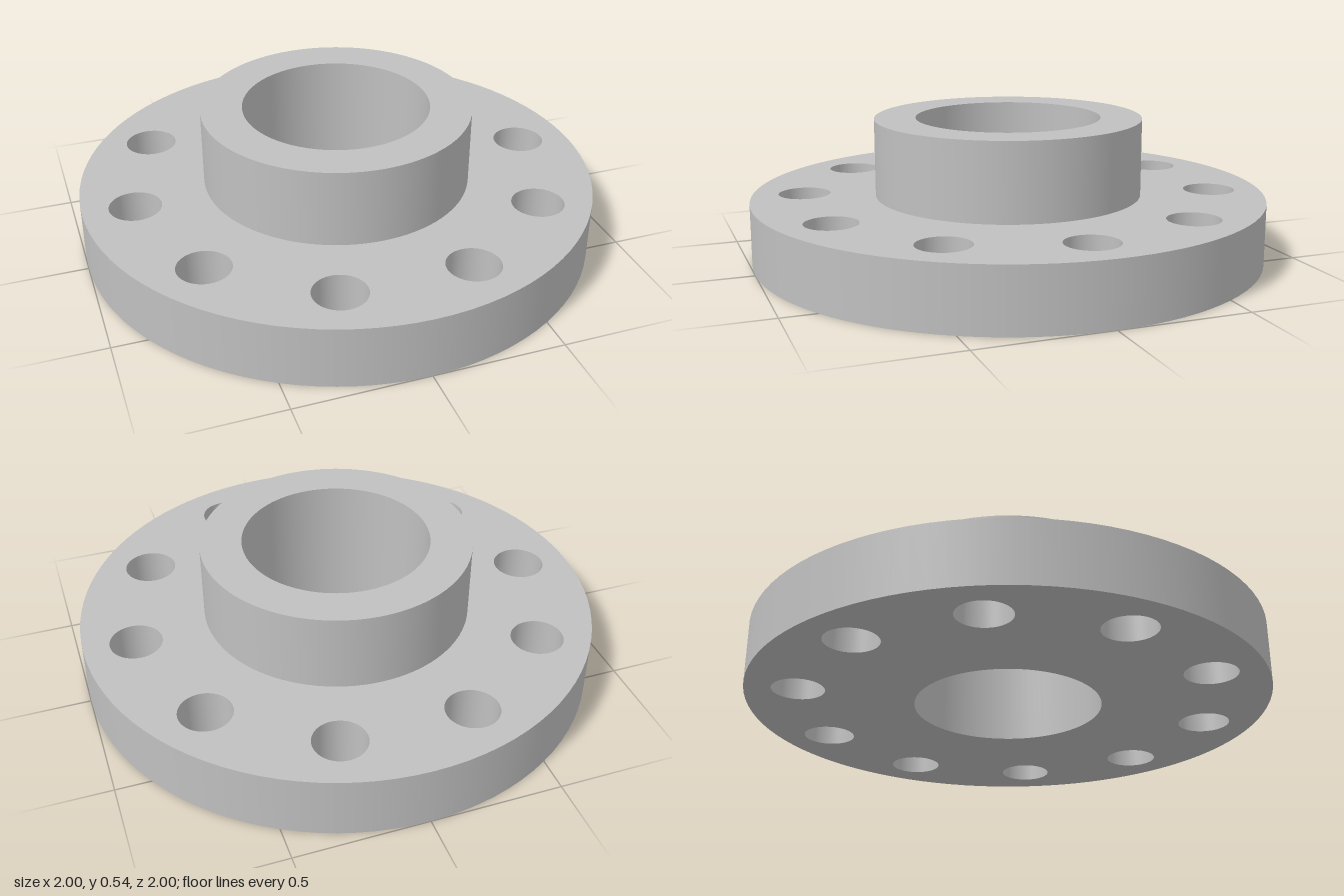
import * as THREE from 'three';
import { mergeGeometries } from 'three/addons/utils/BufferGeometryUtils.js';

const SEGMENTS = 96;
const OUTER = 1, HUB = 0.52, BORE = 0.36;
const PLATE_TOP = 0.24, HUB_TOP = 0.54;
const BOLT_COUNT = 10, BOLT_CIRCLE = 0.8, BOLT_RADIUS = 0.1;

const boltCentres = Array.from({ length: BOLT_COUNT }, (_, i) => {
  const a = (i / BOLT_COUNT) * Math.PI * 2;
  return [BOLT_CIRCLE * Math.cos(a), BOLT_CIRCLE * Math.sin(a)];
});

// Cylindrical wall: faces outward when going up, inward when going down
function wall(radius, fromY, toY, x = 0, z = 0) {
  const profile = [new THREE.Vector2(radius, fromY), new THREE.Vector2(radius, toY)];
  return new THREE.LatheGeometry(profile, SEGMENTS).translate(x, 0, z);
}

// Flat ring at height y, optionally pierced by the bolt holes
function ring(outer, inner, y, { up = true, bolts = false } = {}) {
  const shape = new THREE.Shape().absarc(0, 0, outer, 0, Math.PI * 2, false);
  const holes = [[0, 0, inner]];
  if (bolts) holes.push(...boltCentres.map(([x, z]) => [x, z, BOLT_RADIUS]));
  for (const [x, z, r] of holes) {
    shape.holes.push(new THREE.Path().absarc(x, z, r, 0, Math.PI * 2, true));
  }
  return new THREE.ShapeGeometry(shape, SEGMENTS / 2)
    .rotateX(up ? -Math.PI / 2 : Math.PI / 2)
    .translate(0, y, 0);
}

export function createModel() {
  const model = new THREE.Group();
  model.name = 'pipeFlange';
  const steel = new THREE.MeshStandardMaterial({ color: 0xc0c0c0 });
  steel.name = 'grey steel';

  const add = (name, parts) => {
    const mesh = new THREE.Mesh(mergeGeometries(parts), steel);
    mesh.name = name;
    model.add(mesh);
  };

  // Wide disc with top, underside and rim
  add('flangePlate', [
    ring(OUTER, HUB, PLATE_TOP, { bolts: true }),
    ring(OUTER, BORE, 0, { up: false, bolts: true }),
    wall(OUTER, 0, PLATE_TOP),
  ]);

  // Raised collar
  add('hub', [ring(HUB, BORE, HUB_TOP), wall(HUB, PLATE_TOP, HUB_TOP)]);

  // Central through-hole
  add('bore', [wall(BORE, HUB_TOP, 0)]);

  // Ring of bolt holes through the plate
  add('boltHoles', boltCentres.map(([x, z]) => wall(BOLT_RADIUS, PLATE_TOP, 0, x, z)));

  return model;
}
